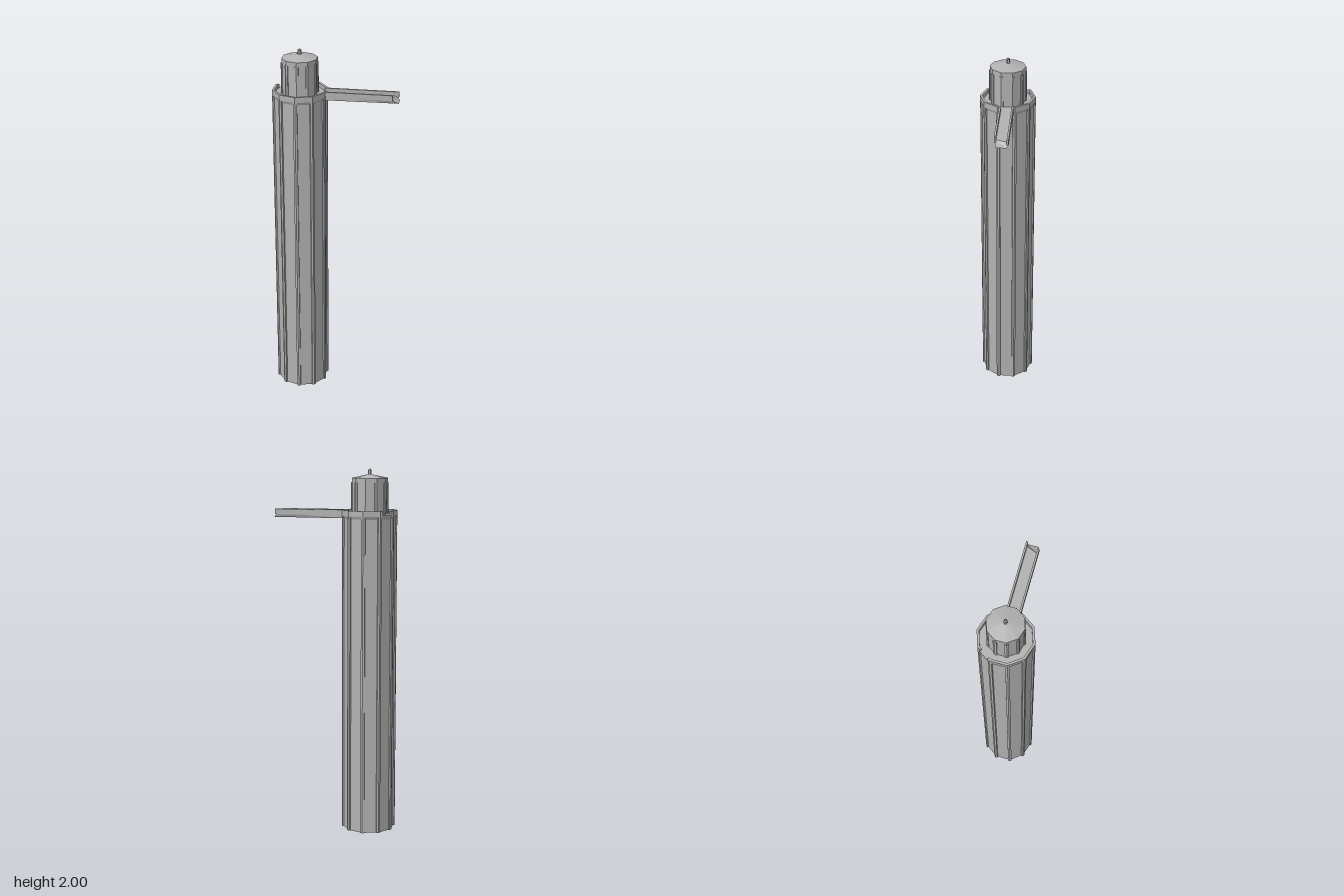
import * as THREE from 'three';

const SIDES = 10;
const STEP = (Math.PI * 2) / SIDES;
const ARM = STEP * 1.5; // arm leaves through the middle of one face

export function createModel() {
  const stone = new THREE.MeshStandardMaterial({ color: 0xb2b2b2, side: THREE.DoubleSide });
  stone.name = 'grey stone';
  const model = new THREE.Group();
  const tower = new THREE.Group();
  tower.name = 'tower';
  tower.position.set(-0.095, 0, -0.152);
  model.add(tower);

  function add(name, geometry, parent = tower) {
    const flat = geometry.index ? geometry.toNonIndexed() : geometry;
    flat.computeVertexNormals();
    const mesh = new THREE.Mesh(flat, stone);
    mesh.name = name;
    parent.add(mesh);
    return mesh;
  }

  // Ten-sided tube or disc between two heights, with a corner on +x
  function drum(rBottom, rTop, y0, y1, open = false, sides = SIDES) {
    return new THREE.CylinderGeometry(rTop, rBottom, y1 - y0, sides, 1, open)
      .rotateY(Math.PI / 2).translate(0, (y0 + y1) / 2, 0);
  }

  // Extrude a plan outline of [x, z] points upward
  function slab(points, y0, y1) {
    const shape = new THREE.Shape(points.map(([x, z]) => new THREE.Vector2(x, -z)));
    return new THREE.ExtrudeGeometry(shape, { depth: y1 - y0, bevelEnabled: false })
      .rotateX(-Math.PI / 2).translate(0, y0, 0);
  }

  // Thin ribs wrapped round every corner
  function ribs(name, r, depth, w, y0, y1) {
    const group = new THREE.Group();
    group.name = name;
    const bx = r - w * Math.sin(STEP / 2), bz = w * Math.cos(STEP / 2);
    const plan = [[r, 0], [bx, bz], [bx - depth, bz], [r - depth, 0], [bx - depth, -bz], [bx, -bz]];
    for (let i = 0; i < SIDES; i++) {
      add('rib', slab(plan, y0, y1), group).rotation.y = i * STEP;
    }
    tower.add(group);
  }

  const R = 0.15, IN = 0.137, APO = Math.cos(STEP / 2);
  const corner = (r, k) => [r * Math.cos(k * STEP), r * Math.sin(k * STEP)];
  // s runs along the arm, n across it
  const onArm = (s, n) => [
    s * Math.cos(ARM) + n * Math.sin(ARM),
    s * Math.sin(ARM) - n * Math.cos(ARM),
  ];

  // Shaft, open at the foot
  add('shaft', drum(0.142, 0.142, 0, 1.737, true));
  ribs('shaftRibs', R, 0.012, 0.011, 0, 1.752);
  add('deckChamfer', drum(0.142, R, 1.735, 1.752, true));
  add('deck', drum(R, R, 1.752, 1.758));

  // Arm, with the tip sloping down and outward
  const arm = slab([onArm(0.12, 0.038), onArm(0.514, 0.038), onArm(0.482, -0.038), onArm(0.12, -0.038)], 1.735, 1.758);
  const p = arm.attributes.position;
  for (let i = 0; i < p.count; i++) {
    const x = p.getX(i), z = p.getZ(i);
    const s = x * Math.cos(ARM) + z * Math.sin(ARM);
    const n = x * Math.sin(ARM) - z * Math.cos(ARM);
    if (s > 0.4 && p.getY(i) < 1.74) {
      const [tx, tz] = onArm(0.533, Math.sign(n) * 0.028);
      p.setXYZ(i, tx, 1.735, tz);
    }
  }
  add('arm', arm);

  // Parapet in two runs, from the arm tip to the gap at the back
  function parapet(name, ks, side, tip, gapX) {
    const outer = [onArm(tip, side * 0.038), onArm(R * APO, side * 0.038),
      ...ks.map((k) => corner(R, k)), [gapX, -R * APO]];
    const inner = [onArm(tip, side * 0.028), onArm(IN * APO, side * 0.028),
      ...ks.map((k) => corner(IN, k)), [gapX, -IN * APO]];
    add(name, slab([...outer, ...inner.reverse()], 1.75, 1.78));
  }
  parapet('rightParapet', [2, 3, 4, 5, 6, 7], -1, 0.501, -0.029);
  parapet('leftParapet', [1, 0, 9, 8], 1, 0.528, 0.029);

  // Turret with a shallow roof and finial
  add('turret', drum(0.097, 0.097, 1.758, 1.952, true));
  ribs('turretRibs', 0.101, 0.007, 0.011, 1.758, 1.928);
  add('roof', drum(0.097, 0.004, 1.952, 1.972));
  add('finial', drum(0.01, 0.01, 1.965, 1.994, false, 6));
  add('finialTip', drum(0.01, 0.002, 1.994, 2, false, 6));

  return model;
}
